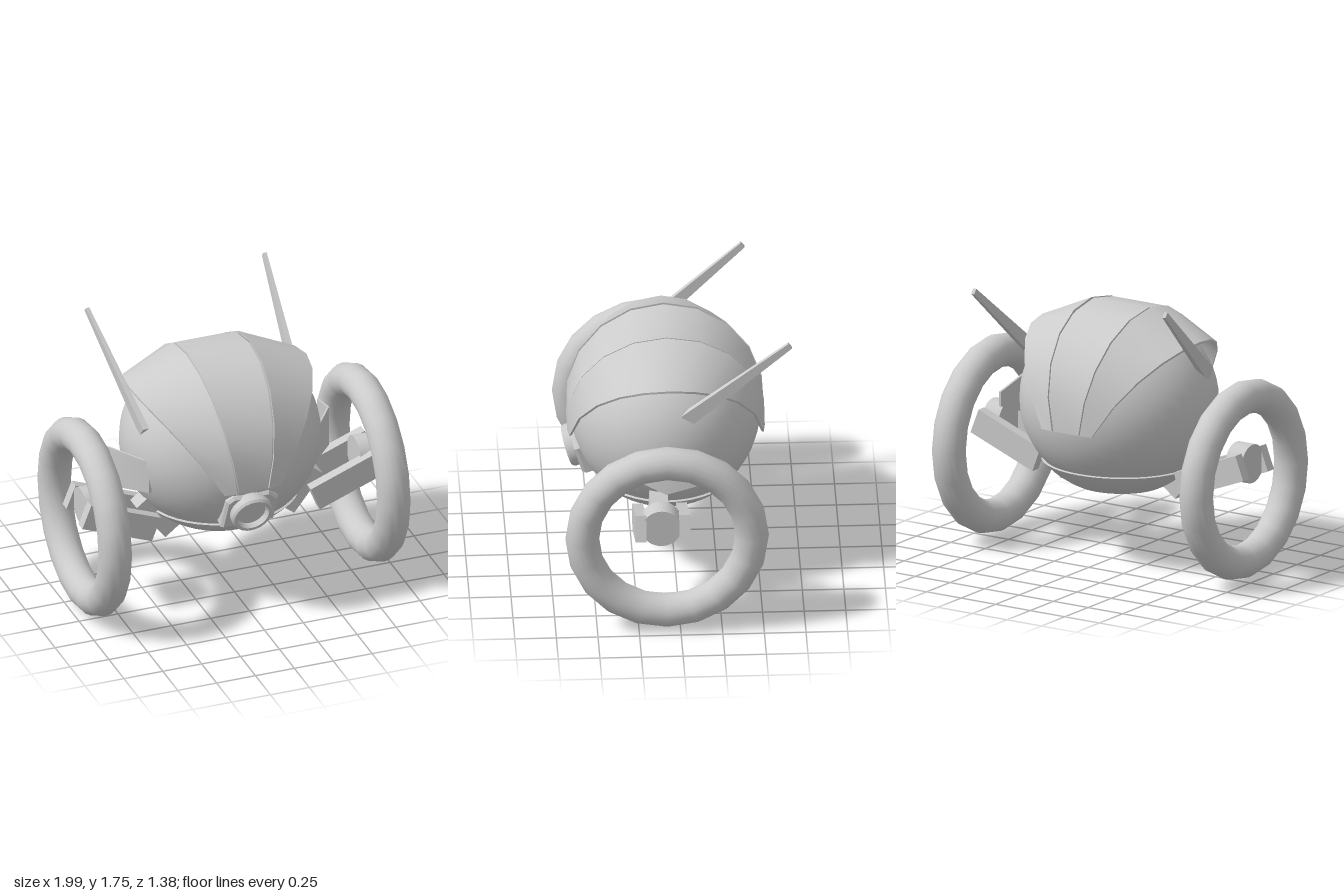
import * as THREE from 'three';
import { toCreasedNormals } from 'three/addons/utils/BufferGeometryUtils.js';

const CY = 0.99, CZ = 0.05; // hull centre
const RX = 0.613, RY = 0.57;
const PANEL_X = -0.03;

export function createModel() {
  const model = new THREE.Group();
  const grey = new THREE.MeshStandardMaterial({ color: 0xcccccc, side: THREE.DoubleSide });

  const add = (name, geometry, parent = model) => {
    const mesh = new THREE.Mesh(geometry, grey);
    mesh.name = name;
    parent.add(mesh);
    return mesh;
  };

  // Closed solid through a list of equal-sized cross-sections
  const loft = (sections) => {
    const n = sections[0].length, last = sections.length - 1, idx = [];
    for (let i = 0; i < last; i++) {
      for (let j = 0; j < n; j++) {
        const a = i * n + j, b = i * n + (j + 1) % n;
        idx.push(a, b, b + n, a, b + n, a + n);
      }
    }
    for (let j = 1; j < n - 1; j++) {
      idx.push(0, j + 1, j, last * n, last * n + j, last * n + j + 1);
    }
    const g = new THREE.BufferGeometry();
    g.setAttribute('position', new THREE.Float32BufferAttribute(sections.flat(2), 3));
    g.setIndex(idx);
    return toCreasedNormals(g, 0.6);
  };

  // Egg-shaped hull
  const hull = add('hull', new THREE.SphereGeometry(1, 40, 28));
  hull.scale.set(RX, RY, RY);
  hull.position.set(-0.017, CY, CZ);

  // Raised band under the hull, open at the bottom
  const profile = [[0.43, -0.9]];
  for (let i = 0; i <= 6; i++) {
    const a = THREE.MathUtils.degToRad(154.5 - i * 4);
    profile.push([Math.sin(a) * 1.025, Math.cos(a) * 1.02]);
  }
  profile.push([0.74, -0.65]);
  const band = add('lowerBand', toCreasedNormals(
    new THREE.LatheGeometry(profile.map(p => new THREE.Vector2(...p)), 40), 0.6));
  band.scale.copy(hull.scale);
  band.position.copy(hull.position);

  // Armour panels arching from front to back, tapering at both ends
  const END = THREE.MathUtils.degToRad(98), STEPS = 10;
  const arch = (corners) => {
    const sections = [];
    for (let i = 0; i <= STEPS; i++) {
      const t = -END + (2 * END * i) / STEPS;
      const c = Math.cos((t / END) * Math.PI / 2);
      sections.push(corners(c).map(([x, r]) =>
        [PANEL_X + x, CY + r * Math.cos(t), CZ + r * Math.sin(t)]));
    }
    return loft(sections);
  };
  add('centrePanel', arch(c => {
    const w = 0.09 + 0.108 * c;
    return [[-w, 0.597], [w, 0.597], [w, 0.583], [-w, 0.583]];
  }));
  for (const s of [1, -1]) {
    add(s > 0 ? 'leftPanel' : 'rightPanel', arch(c => {
      const a = 0.1 + 0.112 * c, b = 0.18 + 0.39 * c;
      const ra = 0.6, rb = 0.59 - 0.15 * c;
      const pts = [[s * a, ra], [s * b, rb], [s * b, rb - 0.014], [s * a, ra - 0.014]];
      return s > 0 ? pts : pts.reverse();
    }));
  }

  // Eye: angular collar, hollow barrel and lens, tilted downward
  const eye = new THREE.Group();
  eye.name = 'eye';
  eye.position.set(-0.03, 0.76, 0.56);
  eye.rotation.x = 0.3;
  model.add(eye);
  const collarShape = new THREE.Shape([[-0.17, -0.12], [0.17, -0.12], [0.18, 0.06],
    [0.115, 0.12], [-0.115, 0.12], [-0.155, 0.09]].map(p => new THREE.Vector2(...p)));
  const collar = add('eyeCollar', new THREE.ExtrudeGeometry(collarShape, {
    depth: 0.12, bevelEnabled: true, bevelThickness: 0.02, bevelSize: 0.012,
    bevelOffset: -0.012, bevelSegments: 1,
  }), eye);
  collar.position.z = -0.11;
  const barrel = add('eyeBarrel', toCreasedNormals(new THREE.LatheGeometry(
    [[0.13, -0.1], [0.13, 0.07], [0.12, 0.085], [0.1, 0.085], [0.09, 0.05], [0, 0.05]]
      .map(p => new THREE.Vector2(...p)), 24), 0.5), eye);
  barrel.rotation.x = Math.PI / 2;

  for (const s of [1, -1]) {
    const side = new THREE.Group();
    side.name = s > 0 ? 'leftSide' : 'rightSide';
    model.add(side);

    // Wheel
    const wheel = add('wheel', new THREE.TorusGeometry(0.51, 0.102, 18, 20), side);
    wheel.rotation.y = Math.PI / 2;
    wheel.position.set(s > 0 ? 0.893 : -0.898, s > 0 ? 0.627 : 0.615, 0.08);

    // Pair of suspension bars, axle hub and elbow into the hull
    for (const z of [0.24, -0.024]) {
      const bar = add('suspensionBar', new THREE.BoxGeometry(0.48, 0.16, 0.066), side);
      bar.position.set(s * 0.735, 0.635, z);
      bar.rotation.z = s * 0.37;
    }
    const hub = add('axleHub', new THREE.CylinderGeometry(0.12, 0.12, 0.12, 24), side);
    hub.rotation.z = Math.PI / 2;
    hub.position.set(s * 0.88, 0.71, 0.115);
    const elbow = add('elbow', new THREE.BoxGeometry(0.13, 0.3, 0.11), side);
    elbow.position.set(s * 0.455, 0.58, 0.115);
    elbow.rotation.z = -s * 0.66;

    // Bent ear plate
    const ox = s > 0 ? -0.055 : 0;
    const ear = [[0.565, 0.82, 1.03, 0.29], [0.73, 0.79, 1.05, 0.075], [0.76, 0.88, 0.97, -0.17]]
      .map(([x, y0, y1, z]) => {
        const a = s * (x + ox), b = s * (x + ox - 0.014);
        const pts = [[a, y0, z], [a, y1, z], [b, y1, z], [b, y0, z]];
        return s > 0 ? pts.reverse() : pts;
      });
    add('earPlate', loft(ear.map(sec => sec.slice().reverse())), side);

    // Swept-back tapering antenna
    const [base, tip] = s > 0
      ? [[0.51, 1.21, -0.05], [0.547, 1.735, -0.675]]
      : [[-0.56, 1.19, 0.2], [-0.682, 1.725, -0.445]];
    const ring = ([x, y, z], h, w) =>
      [[x - w, y + h * 0.78, z + h * 0.62], [x + w, y + h * 0.78, z + h * 0.62],
        [x + w, y - h * 0.78, z - h * 0.62], [x - w, y - h * 0.78, z - h * 0.62]];
    add('antenna', loft([ring(tip, 0.019, 0.011), ring(base, 0.045, 0.02)].reverse()
      .map(sec => sec.slice().reverse())), side);
  }

  return model;
}
